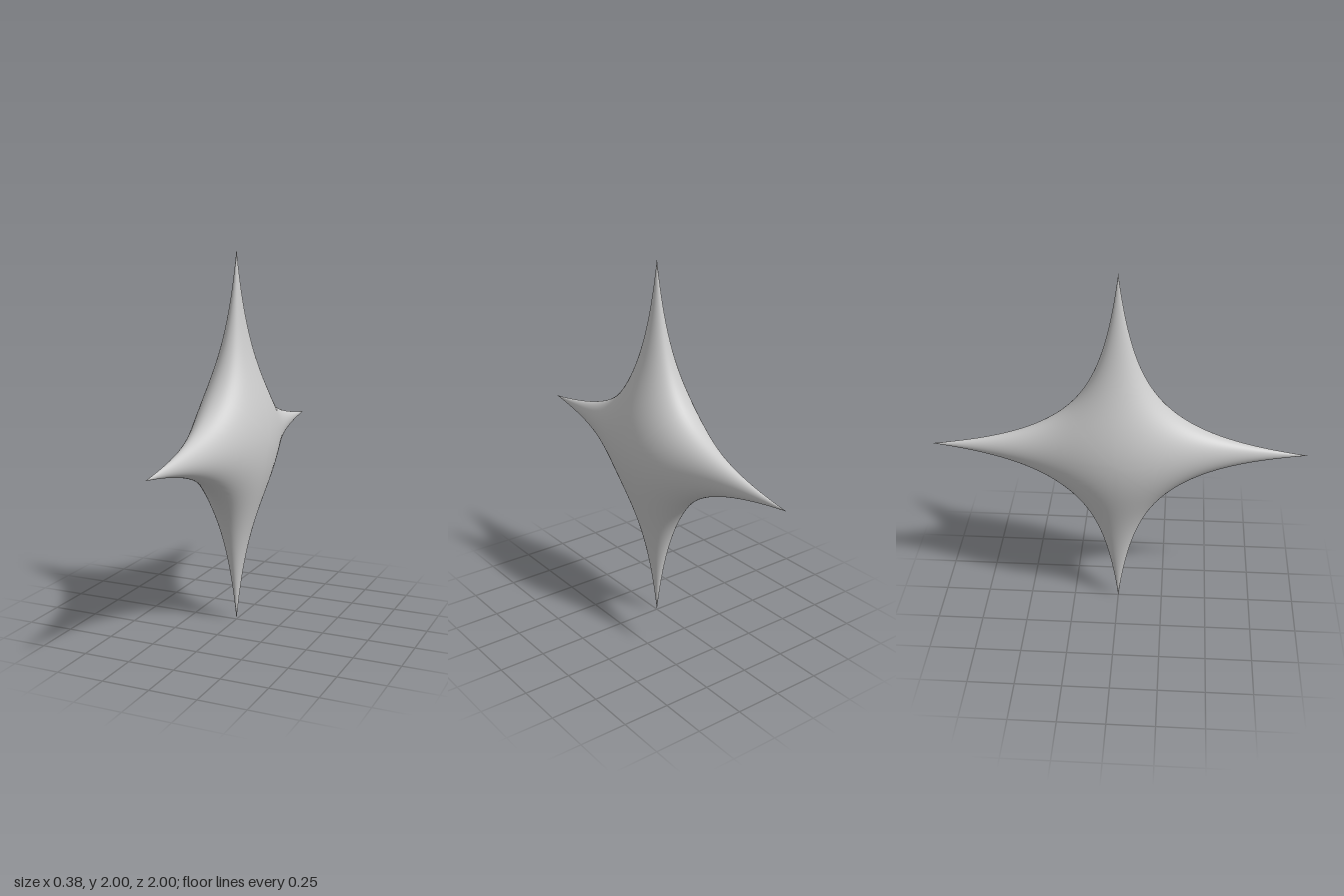
import * as THREE from 'three';
import { mergeVertices } from 'three/addons/utils/BufferGeometryUtils.js';

const TIP = 0.14;    // larger values make the arms fuller
const FLAT = 1.366;  // flattening of the body along x

// Distance from the centre to the surface along a direction.
// The surface is (A + TIP)(B + TIP) = TIP(1 + TIP), where A and B are
// the distances to the y and z arm axes, so every arm has a round section.
function surfacePoint(dir) {
  const d = dir.normalize();
  const A = Math.hypot(d.z, FLAT * d.x);
  const B = Math.hypot(d.y, FLAT * d.x);
  const p = A * B, q = TIP * (A + B);
  const r = (2 * TIP) / (q + Math.sqrt(q * q + 4 * p * TIP));
  return d.multiplyScalar(r);
}

export function createModel() {
  const group = new THREE.Group();
  const rings = 40, sides = 64;
  const positions = [], index = [];
  const xAxis = new THREE.Vector3(1, 0, 0);

  // Four arms, each a fan of rings from the tip to the diagonal seams
  for (let arm = 0; arm < 4; arm++) {
    const start = positions.length / 3;
    for (let i = 0; i <= rings; i++) {
      const u = Math.pow(i / rings, 2.5);
      for (let j = 0; j <= sides; j++) {
        const a = ((j % sides) / sides) * Math.PI * 2;
        const c = Math.cos(a), s = Math.sin(a);
        const dir = new THREE.Vector3(u * s / FLAT, 1 - u + u * Math.abs(c), u * c);
        dir.applyAxisAngle(xAxis, arm * Math.PI / 2);
        const v = surfacePoint(dir);
        positions.push(v.x, v.y + 1, v.z);
        if (i < rings && j < sides) {
          const n = start + i * (sides + 1) + j, m = n + sides + 1;
          if (i > 0) index.push(n, m + 1, n + 1);
          index.push(n, m, m + 1);
        }
      }
    }
  }

  // Weld the seams so the shading is continuous
  let geometry = new THREE.BufferGeometry();
  geometry.setAttribute('position', new THREE.Float32BufferAttribute(positions, 3));
  geometry.setIndex(index);
  geometry = mergeVertices(geometry, 1e-5);
  geometry.computeVertexNormals();

  const star = new THREE.Mesh(geometry, new THREE.MeshStandardMaterial({ color: 0xcccccc }));
  star.name = 'fourPointStar';
  group.add(star);
  return group;
}
